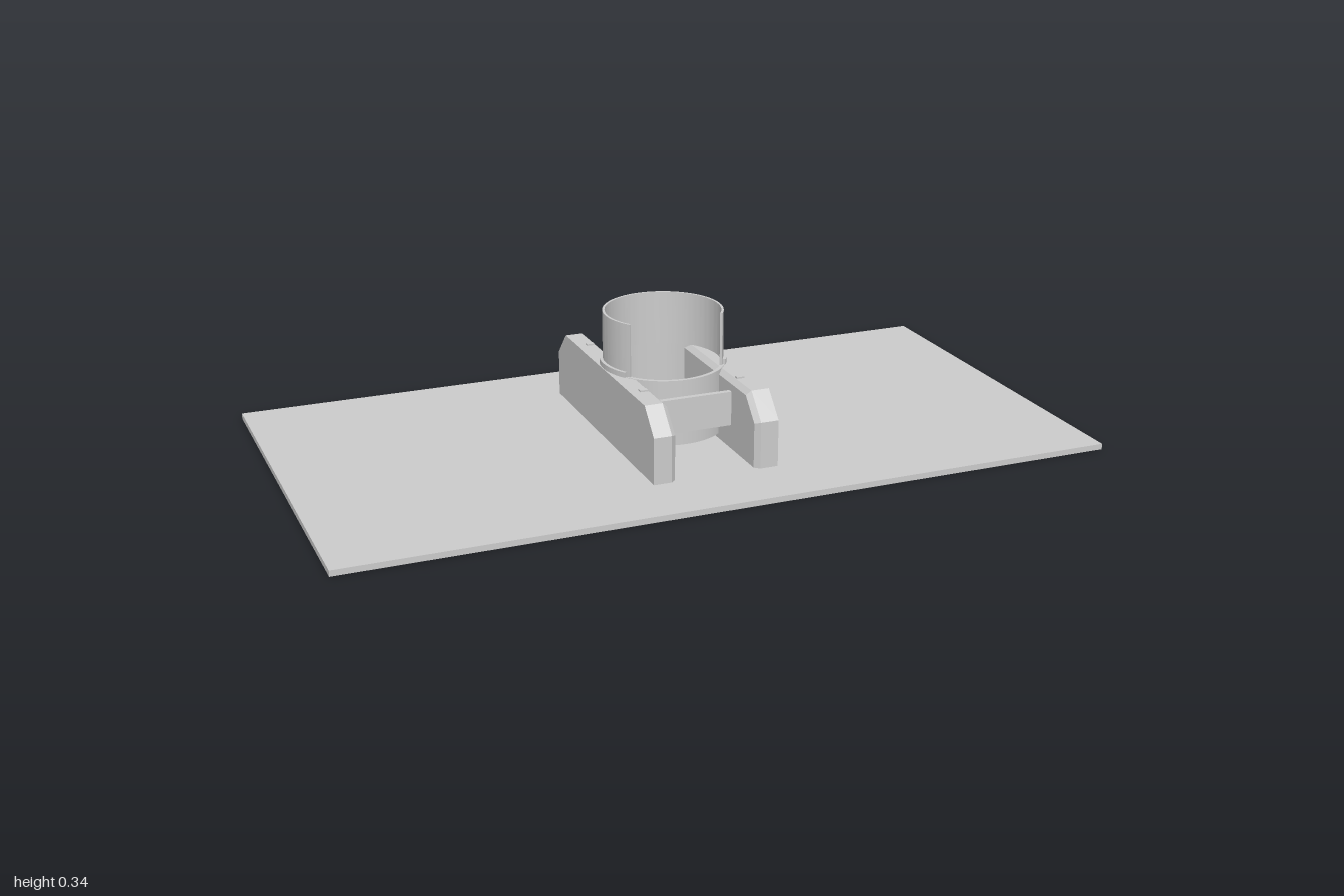
import * as THREE from 'three';
import { toCreasedNormals } from 'three/addons/utils/BufferGeometryUtils.js';
import { ConvexGeometry } from 'three/addons/geometries/ConvexGeometry.js';

const material = new THREE.MeshStandardMaterial({ color: 0xcccccc });

export function createModel() {
  const group = new THREE.Group();

  const add = (name, geometry, x = 0, y = 0, z = 0) => {
    const mesh = new THREE.Mesh(geometry, material);
    mesh.name = name;
    mesh.position.set(x, y, z);
    group.add(mesh);
  };
  const box = (name, w, h, d, x, y, z) => add(name, new THREE.BoxGeometry(w, h, d), x, y, z);

  // Curved wall standing on y0; angles run counter-clockwise from +x, with -z at 90 degrees
  const wall = (name, inner, outer, y0, y1, from = 0, to = Math.PI * 2) => {
    const shape = new THREE.Shape();
    shape.absarc(0, 0, outer, from, to, false);
    if (to - from > 6.28) {
      const hole = new THREE.Path();
      hole.absarc(0, 0, inner, 0, Math.PI * 2, true);
      shape.holes.push(hole);
    } else {
      shape.absarc(0, 0, inner, to, from, true);
    }
    const geometry = new THREE.ExtrudeGeometry(shape, { depth: y1 - y0, bevelEnabled: false, curveSegments: 48 });
    geometry.rotateX(-Math.PI / 2);
    add(name, toCreasedNormals(geometry, 0.6), 0, y0, 0);
  };

  // Base plate
  box('basePlate', 2, 0.015, 1.045, 0, 0.0075, 0);

  // Side rails: sloped top ends, inner edges chamfered
  const railOutline = (x, inset) => {
    const end = 0.35 - inset, top = 0.202 - inset, low = 0.017;
    const side = [[end, low], [end, 0.138 - inset * 0.4], [0.29 - inset * 0.4, top]];
    return side.flatMap(([z, y]) => [new THREE.Vector3(x, y, z), new THREE.Vector3(x, y, -z)]);
  };
  for (const s of [1, -1]) {
    const points = [...railOutline(s * 0.165, 0), ...railOutline(s * 0.118, 0), ...railOutline(s * 0.105, 0.012)];
    add(s > 0 ? 'leftRail' : 'rightRail', new ConvexGeometry(points));
  }

  // Cross plates between the rails, with small tabs showing on the rail tops
  for (const z of [0.192, -0.192]) {
    box('crossPlate', 0.22, 0.09, 0.014, 0, 0.125, z);
    for (const x of [0.13, -0.13]) box('plateTab', 0.02, 0.01, 0.014, x, 0.201, z);
  }

  // Holder ring between the rails
  wall('holderRing', 0.15, 0.16, 0.03, 0.203);

  // Raised lips on both sides of the holder
  wall('leftLip', 0.153, 0.163, 0.2, 0.216, -0.56, 0.56);
  wall('rightLip', 0.153, 0.163, 0.2, 0.216, Math.PI - 0.56, Math.PI + 0.56);

  // Upper sleeve, open to the front
  wall('openSleeve', 0.149, 0.155, 0.2, 0.342, -Math.PI / 2 + 0.95, Math.PI * 1.5 - 0.95);

  return group;
}
